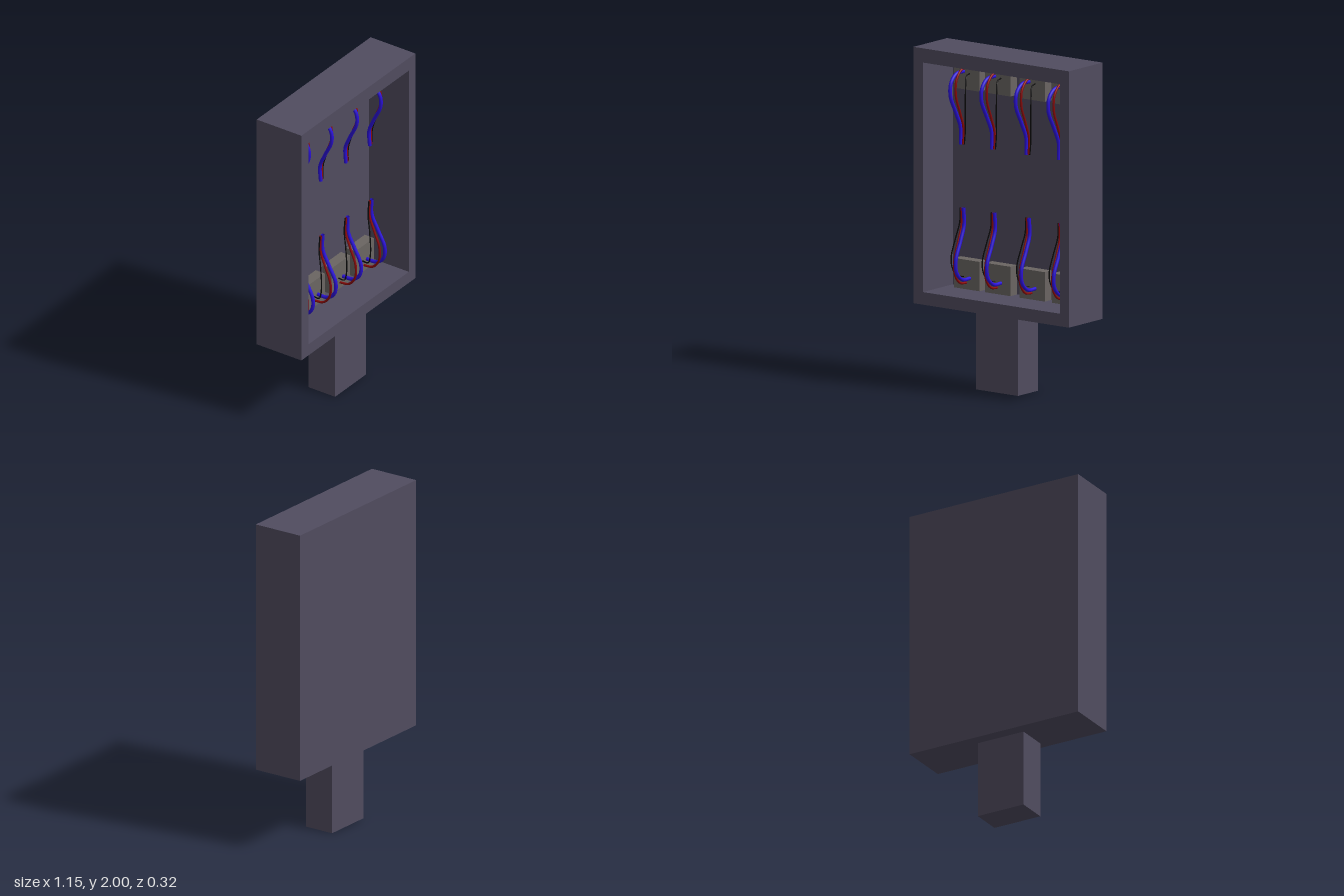
import * as THREE from 'three';

const paint = (color, side = THREE.FrontSide) => new THREE.MeshStandardMaterial({ color, side });

function addMesh(parent, name, geometry, material) {
  const mesh = new THREE.Mesh(geometry, material);
  mesh.name = name;
  parent.add(mesh);
  return mesh;
}

// box given by its x, y and z ranges
function addBox(parent, name, [x0, x1], [y0, y1], [z0, z1], material) {
  const mesh = addMesh(parent, name, new THREE.BoxGeometry(x1 - x0, y1 - y0, z1 - z0), material);
  mesh.position.set((x0 + x1) / 2, (y0 + y1) / 2, (z0 + z1) / 2);
  return mesh;
}

function rectangle(Type, x0, x1, y0, y1) {
  const r = new Type();
  r.moveTo(x0, y0).lineTo(x1, y0).lineTo(x1, y1).lineTo(x0, y1).closePath();
  return r;
}

export function createModel() {
  const model = new THREE.Group();
  model.name = 'wiredCabinet';
  const shell = paint(0x504c5f);
  const grey = paint(0x6a6562);
  const wallZ = -0.125;

  // open-fronted cabinet: rim with a rectangular opening, plus a back wall
  const rim = rectangle(THREE.Shape, -0.575, 0.575, 0.47, 2);
  rim.holes.push(rectangle(THREE.Path, -0.505, 0.51, 0.545, 1.915));
  const rimGeometry = new THREE.ExtrudeGeometry(rim, { depth: 0.16 - wallZ, bevelEnabled: false });
  addMesh(model, 'cabinetRim', rimGeometry, shell).position.z = wallZ;
  addBox(model, 'backWall', [-0.575, 0.575], [0.47, 2], [-0.16, wallZ], shell);

  // post under the cabinet
  addBox(model, 'post', [-0.157, 0.155], [0, 0.47], [-0.085, 0.105], shell);

  // wires, relative to the block's middle in x and the cabinet opening's middle in y
  const wires = [
    { name: 'blueWire', color: 0x2a10d8, radius: 0.011, points: [
      [0.022, -0.615, -0.065], [0.022, -0.612, 0.01], [0.021, -0.565, 0.062], [0.02, -0.49, 0.07],
      [0.017, -0.38, 0.02], [0.013, -0.29, -0.018], [0.01, -0.188, -0.016]] },
    { name: 'redWire', color: 0x8c0a0a, radius: 0.007, points: [
      [-0.005, -0.645, -0.065], [-0.005, -0.635, 0], [-0.005, -0.58, 0.045], [-0.005, -0.49, 0.05],
      [-0.006, -0.38, 0.01], [-0.007, -0.29, -0.02], [-0.007, -0.19, -0.018]] },
    { name: 'blackWire', color: 0x080808, radius: 0.004, points: [
      [-0.021, -0.608, -0.065], [-0.035, -0.598, -0.01], [-0.05, -0.545, 0.015], [-0.052, -0.48, 0.02],
      [-0.035, -0.37, 0], [-0.021, -0.28, -0.02], [-0.015, -0.19, -0.018]] },
  ].map(({ name, color, radius, points }) => {
    const path = new THREE.CatmullRomCurve3(points.map((p) => new THREE.Vector3(...p)));
    return {
      name,
      geometry: new THREE.TubeGeometry(path, 32, radius, 8),
      material: paint(color, THREE.DoubleSide),
    };
  });

  // four terminals along the bottom; the top row is the same turned half round
  for (const x of [-0.352, -0.122, 0.1325, 0.373]) {
    for (const turn of [0, Math.PI]) {
      const terminal = new THREE.Group();
      terminal.name = turn ? 'upperTerminal' : 'lowerTerminal';
      terminal.position.set(x, 1.2285, 0);
      terminal.rotation.z = turn;
      addBox(terminal, 'terminalBlock', [-0.093, 0.093], [-0.684, -0.508], [wallZ, -0.06], grey);
      for (const w of wires) addMesh(terminal, w.name, w.geometry, w.material);
      model.add(terminal);
    }
  }
  return model;
}
